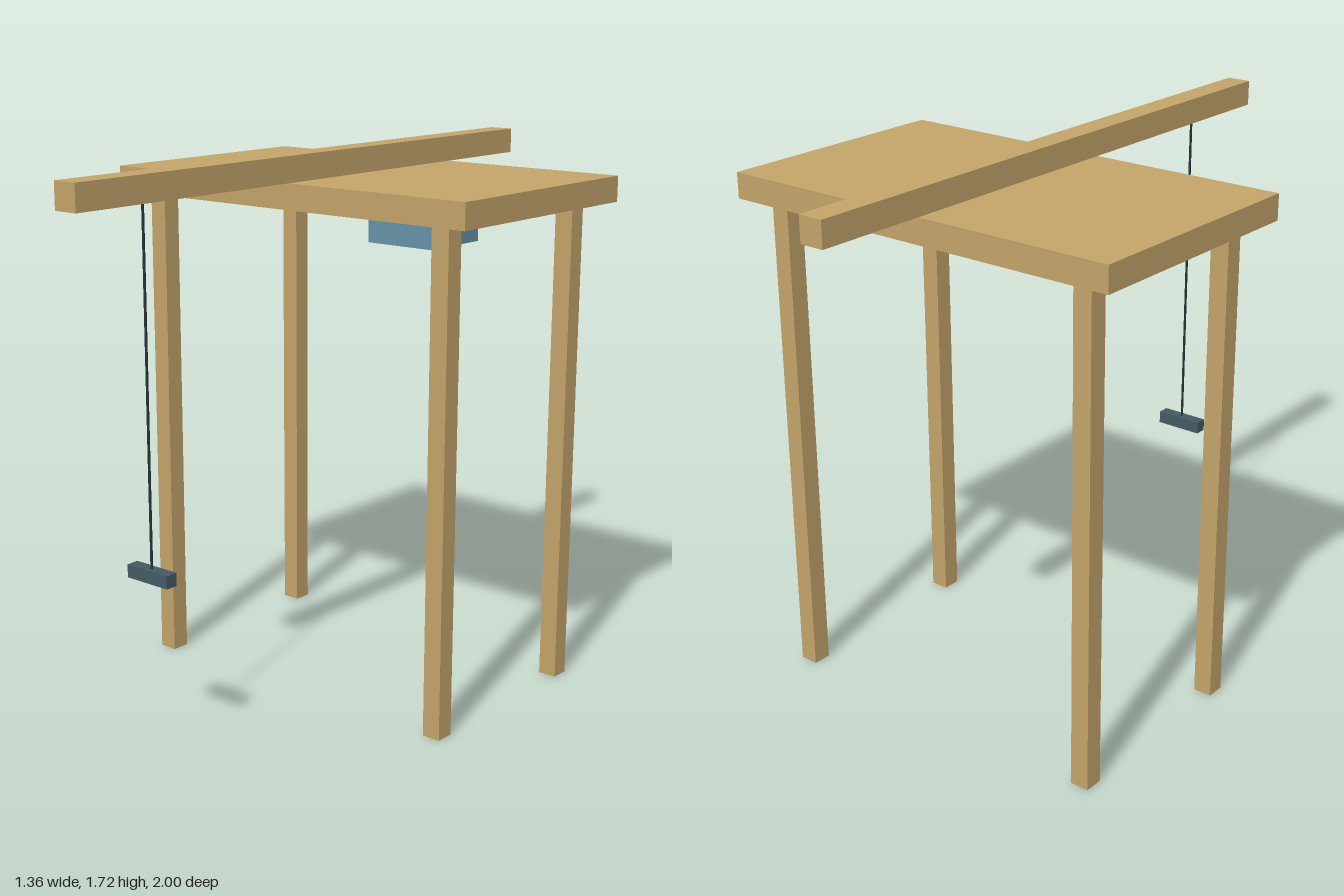
import * as THREE from 'three';

export function createModel() {
  const model = new THREE.Group();
  const material = (color) => new THREE.MeshStandardMaterial({ color });
  const wood = material(0xc4a46a);
  const steel = material(0x455a64);

  const add = (name, geometry, mat, x, y, z) => {
    const mesh = new THREE.Mesh(geometry, mat);
    mesh.name = name;
    mesh.position.set(x, y, z);
    model.add(mesh);
  };
  const box = (w, h, d) => new THREE.BoxGeometry(w, h, d);

  // Platform on four posts
  const platformZ = -0.24;
  add('platform', box(1.36, 0.08, 0.8), wood, 0, 1.6, platformZ);
  for (const sx of [-1, 1]) {
    for (const sz of [-1, 1]) {
      const name = (sz > 0 ? 'front' : 'back') + (sx > 0 ? 'Left' : 'Right') + 'Leg';
      add(name, box(0.06, 1.56, 0.06), wood, sx * 0.56, 0.78, platformZ + sz * 0.32);
    }
  }

  // Long beam lying across the platform
  add('beam', box(0.08, 0.08, 2), wood, 0, 1.68, 0);

  // Box fixed under the platform
  add('underBox', box(0.24, 0.12, 0.24), material(0x6592a6), 0.24, 1.5, platformZ);

  // Cord and bar hanging from the front of the beam
  add('cord', new THREE.CylinderGeometry(0.004, 0.004, 1.06, 8), material(0x263238), 0, 1.11, 0.72);
  add('hangingBar', box(0.16, 0.04, 0.04), steel, 0, 0.56, 0.72);

  return model;
}
